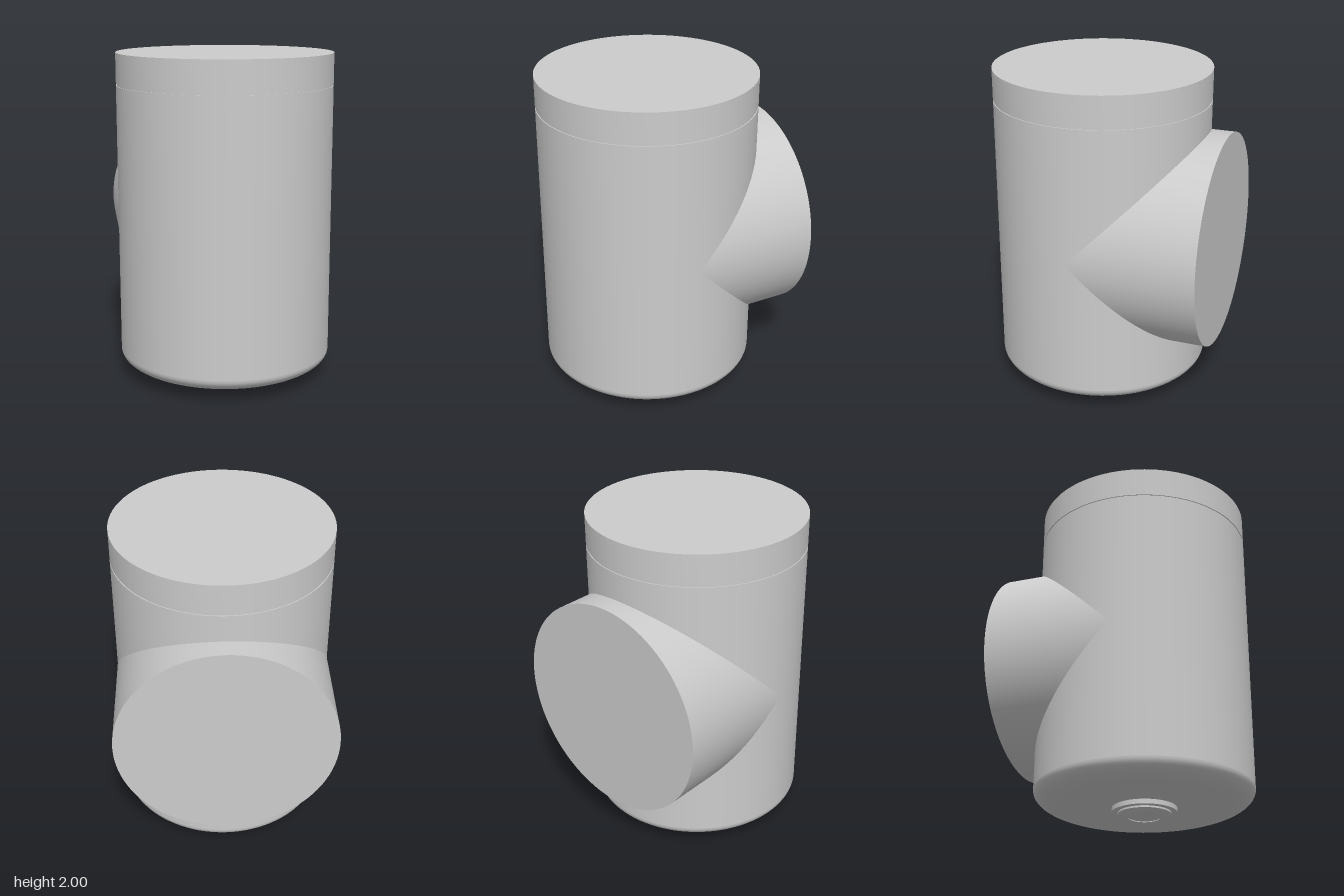
import * as THREE from 'three';
import { toCreasedNormals } from 'three/addons/utils/BufferGeometryUtils.js';

const R = 0.657;       // radius of body and branch pipe
const AXIS_Z = 0.06;   // body axis
const SEG = 96;

export function createModel() {
  const model = new THREE.Group();
  const grey = new THREE.MeshStandardMaterial({ color: 0xcccccc });
  const greyOpen = new THREE.MeshStandardMaterial({ color: 0xcccccc, side: THREE.DoubleSide });

  const add = (name, geometry, material = grey, z = AXIS_Z) => {
    const mesh = new THREE.Mesh(geometry, material);
    mesh.name = name;
    mesh.position.z = z;
    model.add(mesh);
    return mesh;
  };
  const lathe = (points) => toCreasedNormals(
    new THREE.LatheGeometry(points.map(([r, y]) => new THREE.Vector2(r, y)), SEG), 0.4);

  // Open wall whose ends may be slanted; each end is y = base + slope * z
  const wall = (bottom, bottomSlope, top, topSlope) => {
    const g = new THREE.CylinderGeometry(R, R, 1, SEG, 1, true);
    const p = g.attributes.position;
    for (let i = 0; i < p.count; i++) {
      const z = p.getZ(i);
      p.setY(i, p.getY(i) > 0 ? top + topSlope * z : bottom + bottomSlope * z);
    }
    return g;
  };

  // Main body, split along a slanted seam
  const seam = 0.495, slope = 0.265;
  add('lowerBody', wall(0.15, 0, seam, slope), greyOpen);
  add('upperBody', wall(seam, slope, 1.805, 0), greyOpen);

  // Shallow groove and closed top cap
  add('capGroove', lathe([[R, 1.805], [R - 0.006, 1.805], [R - 0.006, 1.815], [R, 1.815]]), greyOpen);
  add('topCap', lathe([[R, 1.815], [R, 2], [0, 2]]));

  // Rounded base: flat disc and a flattened quarter-round edge
  const base = [[0, 0.055]];
  const flat = 0.475;
  for (let i = 0; i <= 14; i++) {
    const a = (i / 14) * Math.PI / 2;
    base.push([flat + (R - flat) * Math.sin(a), 0.15 - 0.095 * Math.cos(a)]);
  }
  add('roundedBase', lathe(base));

  // Stepped drain plug under the base
  add('drainPlug', lathe([
    [0, 0.005], [0.095, 0.005], [0.095, 0], [0.125, 0.003], [0.16, 0.016],
    [0.16, 0.027], [0.195, 0.027], [0.195, 0.055],
  ]));

  // Equal-diameter branch pipe leaving the back, closed at its outer face
  const length = AXIS_Z + 0.72;
  const branch = add('branchPipe',
    new THREE.CylinderGeometry(R, R, length, SEG, 1, true), greyOpen, AXIS_Z - length / 2);
  branch.rotation.x = Math.PI / 2;
  branch.position.y = 0.98;
  const face = add('branchFace', new THREE.CircleGeometry(R, SEG), grey, -0.72);
  face.rotation.y = Math.PI;
  face.position.y = 0.98;

  return model;
}
